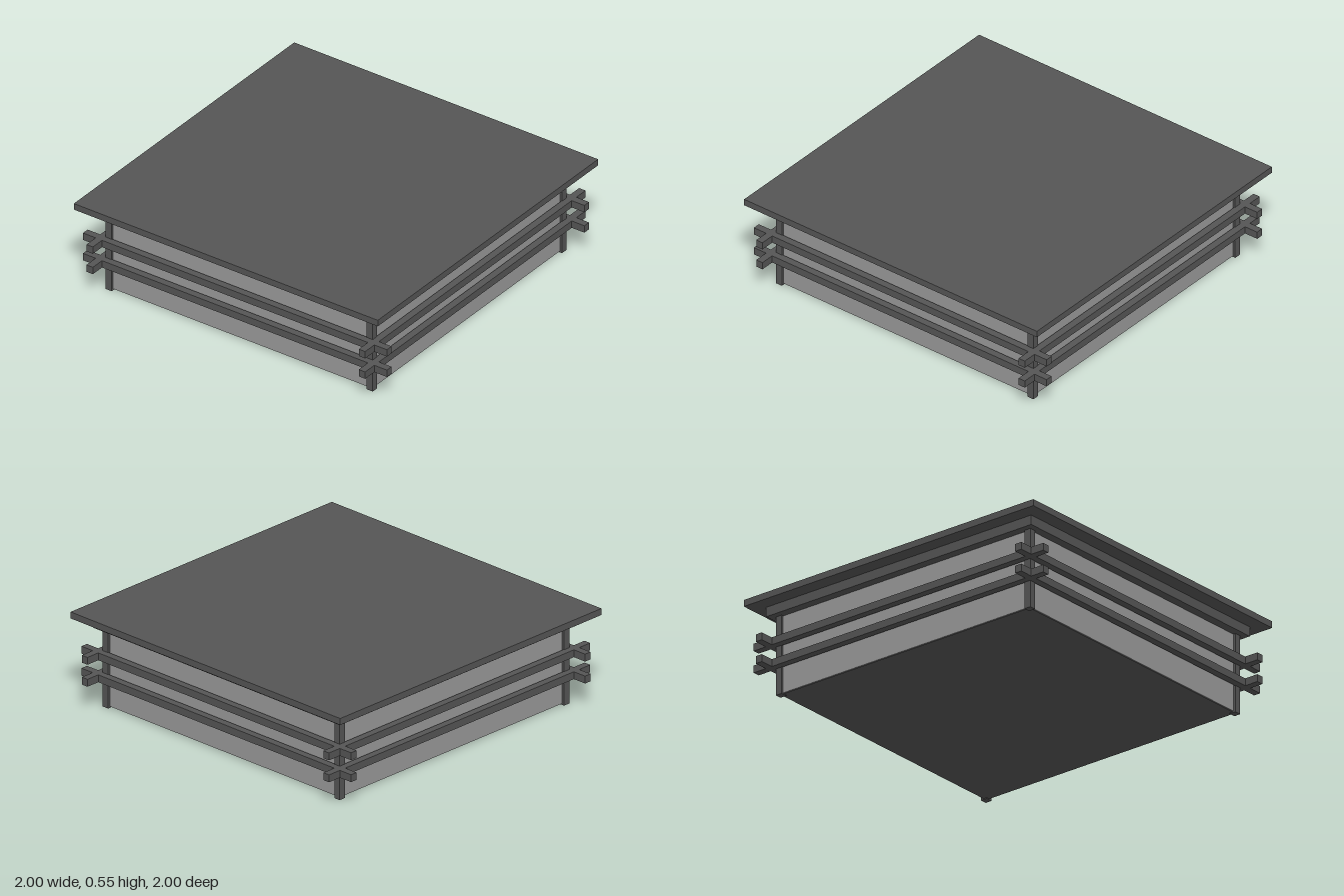
import * as THREE from 'three';

export function createModel() {
  const model = new THREE.Group();
  model.name = 'squareSlattedBox';
  const dark = new THREE.MeshStandardMaterial({ color: 0x555555 });
  const pale = new THREE.MeshStandardMaterial({ color: 0x999999 });

  // Box given by its size, the height of its underside and its centre in plan
  function box(name, [w, h, d], bottom, x, z, material, parent = model) {
    const mesh = new THREE.Mesh(new THREE.BoxGeometry(w, h, d), material);
    mesh.name = name;
    mesh.position.set(x, bottom + h / 2, z);
    parent.add(mesh);
    return mesh;
  }

  // Floor and stepped lid
  box('floor', [1.72, 0.02, 1.72], 0.005, 0, 0, dark);
  box('lidFrame', [1.83, 0.055, 1.83], 0.46, 0, 0, dark);
  box('lid', [2, 0.038, 2], 0.515, 0, 0, dark);

  // Each side carries a wall panel, one corner post and two rails
  for (let i = 0; i < 4; i++) {
    const side = new THREE.Group();
    side.name = ['front', 'left', 'back', 'right'][i] + 'Side';
    side.rotation.y = i * Math.PI / 2;
    box('wallPanel', [1.7, 0.452, 0.02], 0.008, 0, 0.855, pale, side);
    box('cornerPost', [0.04, 0.46, 0.04], 0, 0.859, 0.859, dark, side);
    for (const y of [0.155, 0.283]) box('rail', [2, 0.043, 0.042], y, 0, 0.896, dark, side);
    model.add(side);
  }
  return model;
}
